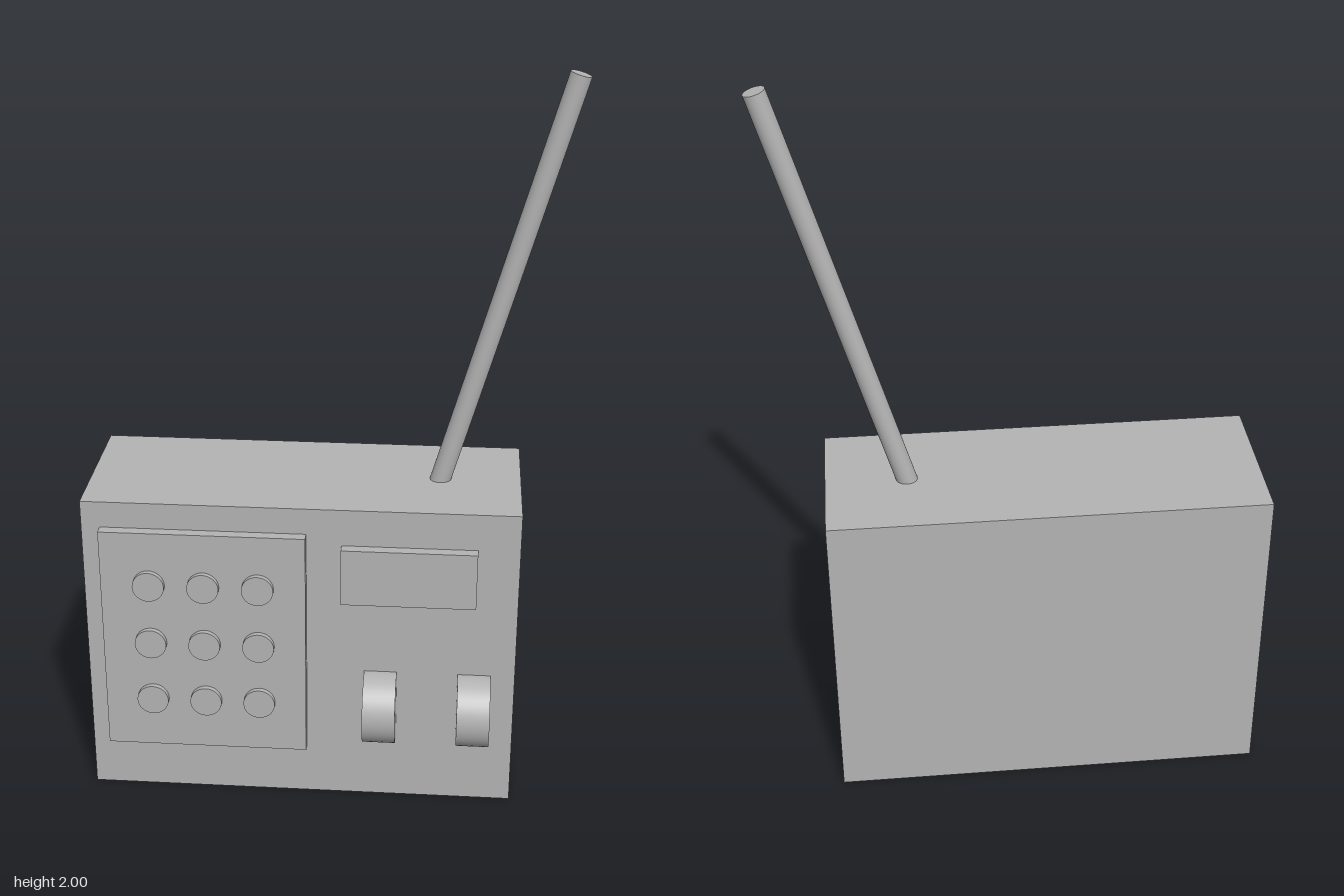
import * as THREE from 'three';

export function createModel() {
  const group = new THREE.Group();
  const grey = new THREE.MeshStandardMaterial({ color: 0xb3b3b3 });
  grey.name = 'grey';

  const add = (name, geometry, x, y, z) => {
    const mesh = new THREE.Mesh(geometry, grey);
    mesh.name = name;
    mesh.position.set(x, y, z);
    group.add(mesh);
    return mesh;
  };

  // Box given by its minimum and maximum corners
  const addBox = (name, [x0, y0, z0], [x1, y1, z1]) =>
    add(name, new THREE.BoxGeometry(x1 - x0, y1 - y0, z1 - z0),
      (x0 + x1) / 2, (y0 + y1) / 2, (z0 + z1) / 2);

  const front = 0.163;
  addBox('body', [-0.65, 0, -0.273], [0.52, 0.884, front]);

  // Raised plates on the front
  addBox('speakerPanel', [-0.6, 0.153, front - 0.01], [-0.047, 0.81, 0.193]);
  addBox('displayPanel', [0.047, 0.618, front - 0.01], [0.408, 0.78, 0.193]);

  // Three by three grid of round buttons
  const buttonGeometry = new THREE.CylinderGeometry(0.043, 0.043, 0.025, 32).rotateX(Math.PI / 2);
  for (let row = 0; row < 3; row++) {
    for (let col = 0; col < 3; col++) {
      add('button', buttonGeometry, -0.469 + col * 0.147, 0.304 + row * 0.176, 0.195);
    }
  }

  // Two thumbwheels sunk halfway into the front
  const wheelGeometry = new THREE.CylinderGeometry(0.102, 0.102, 0.089, 48).rotateZ(Math.PI / 2);
  for (const x of [0.155, 0.41]) add('tuningWheel', wheelGeometry, x, 0.297, 0.172);

  // Tilted antenna, its foot sunk into the top
  const foot = new THREE.Vector3(0.292, 0.85, -0.056);
  const tip = new THREE.Vector3(0.618, 1.992, -0.056);
  const dir = tip.clone().sub(foot);
  const mid = foot.clone().lerp(tip, 0.5);
  const antenna = add('antenna', new THREE.CylinderGeometry(0.028, 0.028, dir.length(), 32), mid.x, mid.y, mid.z);
  antenna.quaternion.setFromUnitVectors(new THREE.Vector3(0, 1, 0), dir.normalize());

  return group;
}
